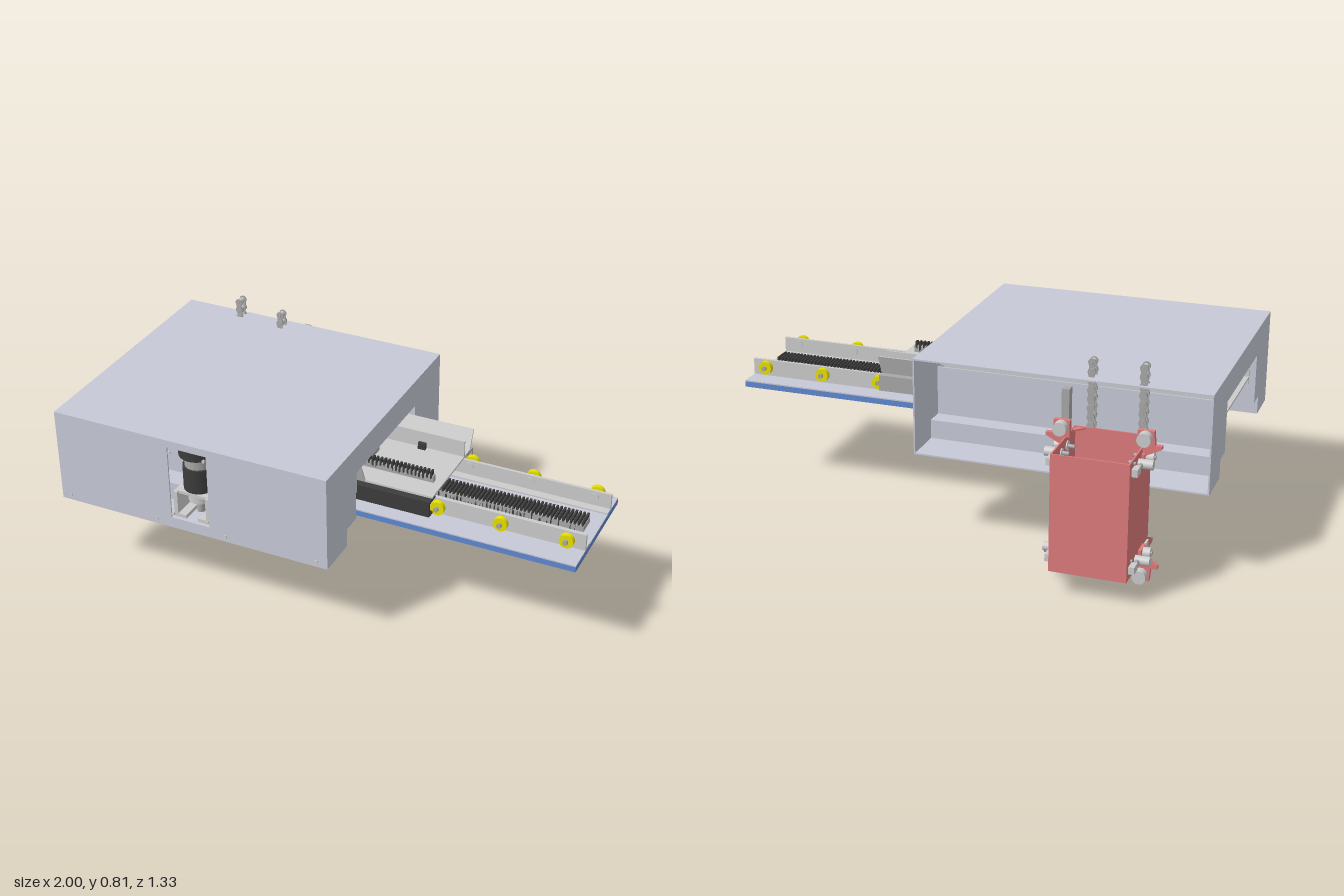
import * as THREE from 'three';

const COL = { grey: 0xcccccc, shell: 0xc6c9d6, red: 0xdc7a7a, blue: 0x5f88d0, yellow: 0xe6e000, dark: 0x3c3c3c, magenta: 0xd020c0, steel: 0xa8a8a8 };
const mats = {};
const mat = (c) => (mats[c] ??= new THREE.MeshStandardMaterial({ color: COL[c], side: THREE.DoubleSide }));

function add(parent, name, geo, c) {
  const m = new THREE.Mesh(geo, mat(c));
  m.name = name;
  parent.add(m);
  return m;
}
// Box given by its limits
function box(p, name, x0, x1, y0, y1, z0, z1, c = 'grey') {
  const m = add(p, name, new THREE.BoxGeometry(x1 - x0, y1 - y0, z1 - z0), c);
  m.position.set((x0 + x1) / 2, (y0 + y1) / 2, (z0 + z1) / 2);
  return m;
}
// Cylinder centred on a point, along axis 'x', 'y' or 'z'
function cyl(p, name, x, y, z, r, len, axis, c = 'grey', seg = 20) {
  const m = add(p, name, new THREE.CylinderGeometry(r, r, len, seg), c);
  if (axis === 'x') m.rotation.z = Math.PI / 2;
  if (axis === 'z') m.rotation.x = Math.PI / 2;
  m.position.set(x, y, z);
  return m;
}
const poly = (pts) => new THREE.Shape(pts.map(([a, b]) => new THREE.Vector2(a, b)));
const extrude = (shape, depth) => new THREE.ExtrudeGeometry(shape, { depth, bevelEnabled: false, curveSegments: 8 });
// Outline in (z, y), extruded from x0 to x1
function sideProfile(p, name, pts, x0, x1, c) {
  const m = add(p, name, extrude(poly(pts.map(([z, y]) => [-z, y])), x1 - x0), c);
  m.rotation.y = Math.PI / 2;
  m.position.x = x0;
  return m;
}
function group(parent, name) {
  const g = new THREE.Group();
  g.name = name;
  parent.add(g);
  return g;
}

function buildHousing(root) {
  const g = group(root, 'housing'), X0 = -1, X1 = 0.145, t = 0.006;
  box(g, 'topPanel', X0, X1, 0.74 - t, 0.74, -0.38, 0.655, 'shell');
  // front panel with the motor window
  const front = poly([[X0, 0.355], [X1, 0.355], [X1, 0.74], [X0, 0.74]]);
  front.holes.push(new THREE.Path([[-0.51, 0.4], [-0.51, 0.71], [-0.345, 0.71], [-0.345, 0.4]].map(([a, b]) => new THREE.Vector2(a, b))));
  add(g, 'frontPanel', extrude(front, t), 'shell').position.z = 0.649;
  // end plates with the stepped arch
  const arch = [[0.655, 0.355], [0.655, 0.74], [-0.38, 0.74], [-0.38, 0.355], [-0.21, 0.355], [-0.21, 0.43],
    [-0.135, 0.43], [-0.135, 0.63], [0.41, 0.63], [0.41, 0.43], [0.49, 0.43], [0.49, 0.355]];
  for (const x of [X0, X1 - t]) sideProfile(g, 'endPlate', arch, x, x + t, 'shell');
  // stepped tunnel sheets and floors
  for (const [a, b, c] of [[0.41, 0.49, 0.655], [-0.135, -0.21, -0.38]]) {
    const s = Math.sign(b - a) * t;
    sideProfile(g, 'tunnelSheet', [[a, 0.63], [a, 0.43], [b, 0.43], [b, 0.355], [c, 0.355], [c, 0.355 + t],
      [b + s, 0.355 + t], [b + s, 0.43 + t], [a + s, 0.43 + t], [a + s, 0.63]], X0, X1, 'shell');
  }
  for (const x of [-0.96, -0.575, -0.28, 0.1]) cyl(g, 'screw', x, 0.378, 0.656, 0.007, 0.008, 'z');
  for (const x of [-0.5, -0.355]) for (const y of [0.42, 0.69]) cyl(g, 'screw', x, y, 0.656, 0.006, 0.008, 'z');
}

function buildMotor(root) {
  const g = group(root, 'motor'), x = -0.428, z = 0.572;
  cyl(g, 'motorCap', x, 0.685, z, 0.072, 0.045, 'y', 'dark', 32);
  cyl(g, 'motorNeck', x, 0.64, z, 0.052, 0.05, 'y', 'steel', 32);
  cyl(g, 'motorBody', x, 0.565, z, 0.06, 0.1, 'y', 'dark', 32);
  cyl(g, 'gearbox', x, 0.49, z, 0.045, 0.06, 'y', 'grey', 32);
  cyl(g, 'shaft', x, 0.44, z, 0.015, 0.07, 'y', 'steel');
  for (const s of [-1, 1]) {
    box(g, 'bracketLeg', x + s * 0.068 - 0.008, x + s * 0.068 + 0.008, 0.4, 0.51, 0.53, 0.64);
    box(g, 'bracketFoot', x + s * 0.045 - 0.02, x + s * 0.045 + 0.02, 0.4, 0.415, 0.53, 0.64);
  }
  box(g, 'bracketBridge', x - 0.07, x + 0.07, 0.5, 0.512, 0.52, 0.63);
}

// Row of guide rollers with bolts pointing outwards; s is the z direction
function rollers(g, xs, z, s) {
  for (const x of xs) {
    cyl(g, 'roller', x, 0.497, z, 0.028, 0.02, 'z', 'yellow', 24);
    cyl(g, 'rollerHub', x, 0.497, z - s * 0.02, 0.017, 0.04, 'z', 'grey');
    cyl(g, 'rollerBolt', x, 0.497, z + s * 0.012, 0.01, 0.02, 'z', 'steel', 6);
  }
}
// Toothed rack lying on y0
function rack(g, x0, x1, y0, y1, z0, z1, pitch) {
  box(g, 'rackBase', x0, x1, y0, y0 + (y1 - y0) * 0.6, z0, z1, 'steel');
  for (let x = x0; x < x1 - pitch / 2; x += pitch) box(g, 'rackTooth', x, x + pitch / 2, y0, y1, z0, z1, 'dark');
}

function buildSlide(root) {
  // outermost plate with its rails
  const a = group(root, 'lowerStage');
  box(a, 'bluePlate', -0.145, 1, 0.427, 0.45, -0.105, 0.385, 'blue');
  box(a, 'coverSheet', -0.145, 1, 0.45, 0.455, -0.105, 0.385, 'shell');
  for (const [z, s] of [[0.275, 1], [-0.015, -1]]) {
    box(a, 'railFlange', -0.145, 1, 0.455, 0.522, z - 0.006, z + 0.006);
    box(a, 'railFoot', -0.145, 1, 0.455, 0.461, Math.min(z, z - s * 0.04), Math.max(z, z - s * 0.04));
    rollers(a, [-0.08, 0.17, 0.43, 0.68, 0.935], z + s * 0.03, s);
  }
  rack(a, -0.12, 0.955, 0.455, 0.495, 0.097, 0.17, 0.015);

  // middle carriage
  const b = group(root, 'middleStage'), X0 = -0.73, X1 = 0.415;
  box(b, 'deck', X0, X1, 0.54, 0.548, -0.05, 0.32);
  for (const [z, s] of [[0.32, 1], [-0.05, -1]]) {
    sideProfile(b, 'slopingFlange', [[z, 0.54], [z + s * 0.034, 0.62], [z + s * 0.028, 0.62], [z - s * 0.006, 0.546]], s > 0 ? -0.73 : X0, s > 0 ? 0.14 : X1);
    // C-shaped guide channel
    sideProfile(b, 'guideChannel', [[z + s * 0.03, 0.475], [z + s * 0.03, 0.54], [z - s * 0.03, 0.54], [z - s * 0.03, 0.53],
      [z + s * 0.022, 0.53], [z + s * 0.022, 0.483], [z - s * 0.01, 0.483], [z - s * 0.01, 0.475]], X0, X1, s > 0 ? 'dark' : 'steel');
    rollers(b, [-0.68, -0.43, -0.18], z + s * 0.02, s);
  }
  box(b, 'uprightStrip', X0, X1, 0.548, 0.615, 0.005, 0.012);
  rack(b, X0 + 0.04, 0.38, 0.548, 0.595, 0.21, 0.23, 0.016);
  box(b, 'pinionBlock', 0.0, 0.1, 0.5, 0.63, 0.1, 0.175, 'steel');
  box(b, 'stopBlock', 0.02, 0.1, 0.46, 0.54, 0.035, 0.075, 'steel');
  box(b, 'latch', 0.23, 0.26, 0.548, 0.575, 0.018, 0.032, 'dark');

  // fixed track inside the housing
  const f = group(root, 'fixedTrack');
  for (const [z, s] of [[0.385, 1], [-0.11, -1]]) {
    for (const x of [-0.9, -0.65, -0.4, -0.15, 0.1]) {
      cyl(f, 'trackBolt', x, 0.497, z, 0.009, 0.06, 'z', 'steel');
      cyl(f, 'spacer', x, 0.497, z - s * 0.02, 0.015, 0.012, 'z', 'magenta');
      cyl(f, 'trackRoller', x, 0.497, z - s * 0.055, 0.028, 0.022, 'z', 'yellow', 24);
    }
    box(f, 'trackHanger', -0.98, 0.13, 0.52, 0.635, z - s * 0.012 - 0.004, z - s * 0.012 + 0.004);
  }
  box(f, 'crossPlate', -0.98, -0.74, 0.545, 0.553, -0.1, 0.37);
  cyl(f, 'driveMotor', -0.2, 0.58, 0.265, 0.045, 0.055, 'y', 'steel', 24);
  cyl(f, 'driveGear', -0.2, 0.618, 0.28, 0.035, 0.02, 'y', 'yellow', 24);
  for (const z of [0.2, 0.06]) box(f, 'switchBlock', 0.02, 0.08, 0.605, 0.65, z - 0.025, z + 0.025, 'dark');
}

// Roller chain hanging along y, pins along z
function chain(root, x, z, y0, y1) {
  const g = group(root, 'liftChain'), n = Math.round((y1 - y0 - 0.03) / 0.036), p = (y1 - y0 - 0.03) / n, r = 0.015;
  const s = new THREE.Shape();
  s.absarc(0, p, r, -0.5, Math.PI + 0.5);
  s.lineTo(-r * 0.7, p / 2);
  s.absarc(0, 0, r, Math.PI - 0.5, 2 * Math.PI + 0.5);
  s.lineTo(r * 0.7, p / 2);
  const plate = extrude(s, 0.004);
  for (let i = 0; i <= n; i++) {
    const y = y0 + r + i * p;
    cyl(g, 'chainPin', x, y, z, 0.006, 0.044, 'z', 'steel', 8);
    cyl(g, 'chainRoller', x, y, z, 0.011, 0.022, 'z', 'grey', 12);
    if (i < n) for (const k of [-1, 1]) add(g, 'chainPlate', plate, 'steel').position.set(x, y, z + k * (i % 2 ? 0.018 : 0.013) - 0.002);
  }
}

function buildCarrier(root) {
  const g = group(root, 'liftCarrier'), X0 = -0.78, X1 = -0.49, Y0 = 0.105, Y1 = 0.56, t = 0.006, mid = (X0 + X1) / 2;
  box(g, 'backWall', X0, X1, Y0, Y1, -0.672, -0.672 + t, 'red');
  box(g, 'frontWall', X0, X1, Y0, Y1, -0.386, -0.38, 'red');
  for (const s of [-1, 1]) {
    const side = group(g, 'carrierSide');
    side.position.x = mid;
    side.scale.x = s; // built on +x, mirrored for the other side
    const w = (X1 - X0) / 2;
    box(side, 'sideWall', w - t, w, Y0, Y1, -0.672, -0.38, 'red');
    // corner gussets at both rims and the forward foot
    for (const y of [Y0 + 0.003, Y1 - 0.009]) {
      const gu = add(side, 'cornerGusset', extrude(poly([[w, 0.38], [w - 0.05, 0.38], [w, 0.43]]), 0.006), 'red');
      gu.rotation.x = -Math.PI / 2;
      gu.scale.y = 1;
      gu.position.set(0, y, 0);
    }
    sideProfile(side, 'forwardFoot', [[-0.38, 0.105], [-0.3, 0.105], [-0.3, 0.118], [-0.38, 0.157]], w - t, w, 'red');
    for (const [y, d] of [[0.52, 1], [0.145, -1]]) {
      const e = d > 0 ? Y1 : Y0;
      // lug plate and its guide wheels
      const lug = poly([[w, e - d * 0.03], [w + 0.012, e - d * 0.03], [w + 0.07, e], [w + 0.07, e + d * 0.012],
        [w + 0.045, e + d * 0.012], [w + 0.04, e + d * 0.065], [w - 0.02, e + d * 0.065], [w - 0.02, e], [w, e]]);
      add(side, 'wheelLug', extrude(lug, 0.02), 'red').position.z = -0.505;
      cyl(side, 'guideWheel', w + 0.01, e + d * 0.04, -0.522, 0.026, 0.034, 'z', 'grey', 24);
      cyl(side, 'wheelBolt', w + 0.01, e + d * 0.04, -0.475, 0.012, 0.03, 'z', 'steel', 6);
      for (const [z, r, len] of [[-0.485, 0.02, 0.05], [-0.555, 0.018, 0.065]]) {
        cyl(side, 'sideRoller', w + len / 2 - 0.01, y, z, r, len, 'x');
        cyl(side, 'sideBolt', w + 0.005, y, z, 0.008, 0.08, 'x', 'steel', 8);
      }
      box(side, 'rollerClip', w, w + 0.012, y - 0.025, y + 0.02, -0.52, -0.455, 'red');
      box(side, 'bearingBlock', w, w + 0.022, y - 0.014, y + 0.014, -0.65, -0.605);
      cyl(side, 'bearingPin', w + 0.012, y, -0.6, 0.009, 0.07, 'z', 'steel', 10);
      box(side, 'mountPlate', w, w + 0.008, y - 0.045, y + 0.01, -0.43, -0.395);
      for (const k of [-1, 1]) cyl(side, 'rivet', w + 0.002, y + k * 0.025, -0.62, 0.006, 0.01, 'x', 'steel', 8);
    }
  }
  box(g, 'stopBar', -0.484, -0.455, 0.52, 0.715, -0.43, -0.395, 'steel');
}

export function createModel() {
  const root = new THREE.Group();
  root.name = 'slidingLiftUnit';
  buildHousing(root);
  buildMotor(root);
  buildSlide(root);
  buildCarrier(root);
  chain(root, -0.74, -0.347, 0.015, 0.82);
  chain(root, -0.54, -0.326, 0.25, 0.81);
  // tensioner under the shorter chain
  box(root, 'tensionerHead', -0.558, -0.522, 0.19, 0.26, -0.345, -0.307);
  cyl(root, 'tensionerRod', -0.54, 0.13, -0.326, 0.01, 0.14, 'y', 'steel');
  box(root, 'tensionerFoot', -0.558, -0.522, 0.01, 0.062, -0.347, -0.305);
  return root;
}
